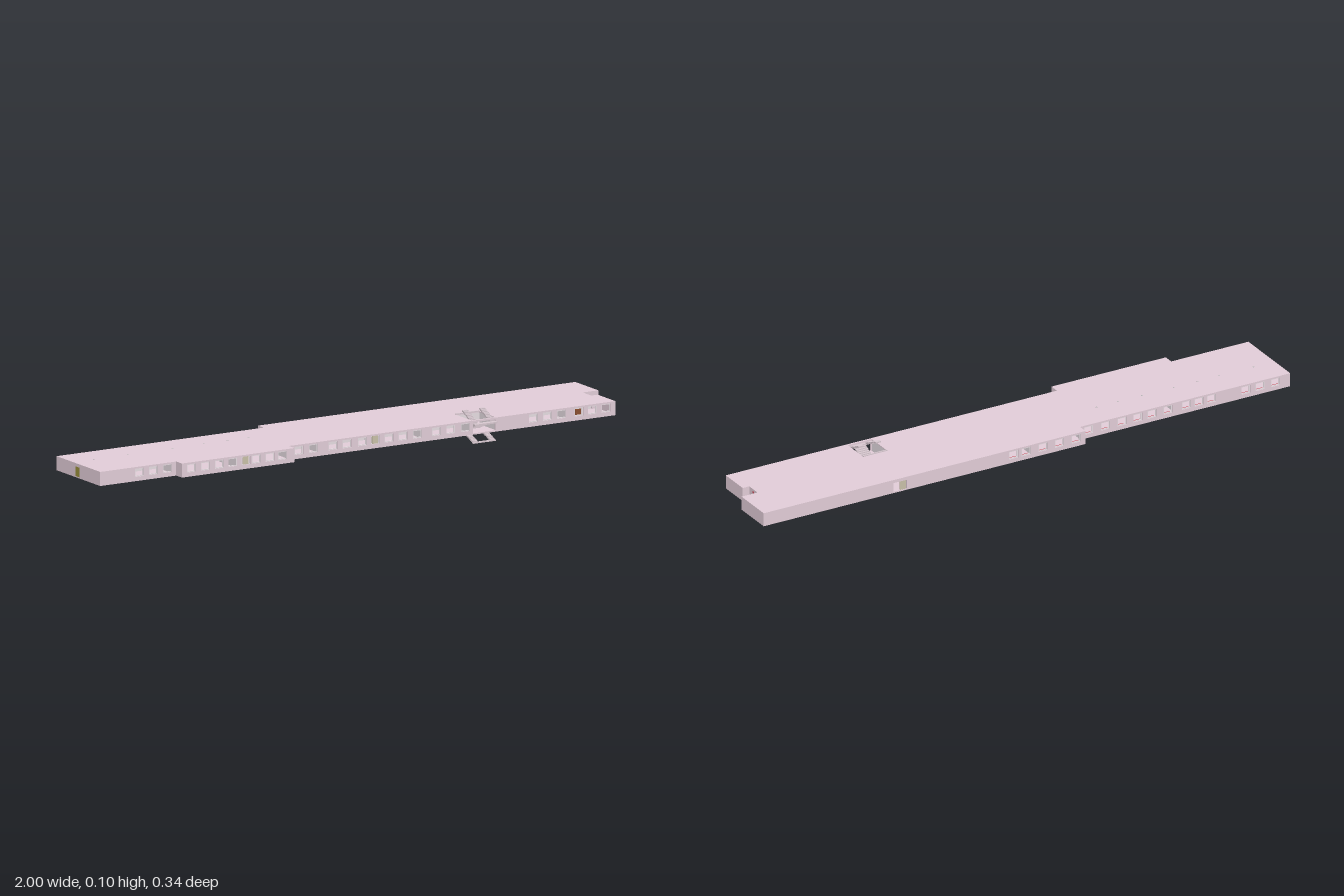
import * as THREE from 'three';

const mat = (color, side = THREE.FrontSide) =>
  new THREE.MeshStandardMaterial({ color, side, flatShading: true });
const M = {
  wall: mat(0xe2cdd8), inner: mat(0xe6dde2), red: mat(0xc04858), grey: mat(0xb4b4b4),
  beige: mat(0xc9c0a8), olive: mat(0x9a8f3c), brown: mat(0x8a5030), step: mat(0xd8c8d0),
};

// Storey levels and wall thickness
const FLOOR = 0.03, BASE = 0.034, CEIL = 0.074, TOP = 0.077, T = 0.006;

// Floor plan corners as [x, z], anticlockwise seen from above
const PLAN = [
  [-1, 0.135], [-0.71, 0.135], [-0.71, 0.17], [-0.28, 0.17], [-0.28, 0.135], [0.965, 0.135],
  [0.965, 0.026], [0.94, 0.026], [0.94, -0.027], [1, -0.027], [1, -0.17],
  [-0.21, -0.17], [-0.21, -0.135], [-1, -0.135],
];

// Window centres on the long sides
const FRONT = [-0.85, -0.797, -0.743, -0.674, -0.62, -0.567, -0.516, -0.465, -0.426, -0.374, -0.326,
  -0.242, -0.187, -0.112, -0.058, 0, 0.05, 0.102, 0.155, 0.21, 0.283, 0.337, 0.394,
  0.652, 0.706, 0.76, 0.826, 0.877, 0.93];
const BACK = [0.06, 0.013, -0.05, -0.112, -0.175, -0.242, -0.305, -0.367, -0.427, -0.48, -0.54,
  -0.61, -0.657, -0.704, -0.833, -0.887, -0.945];
const STAIR_X = 0.465;

function rect(x0, y0, x1, y1, Kind = THREE.Path) {
  const p = new Kind();
  p.moveTo(x0, y0); p.lineTo(x1, y0); p.lineTo(x1, y1); p.lineTo(x0, y1); p.closePath();
  return p;
}

function box(parent, name, material, w, h, d, x, y, z) {
  const mesh = new THREE.Mesh(new THREE.BoxGeometry(w, h, d), material);
  mesh.name = name;
  mesh.position.set(x, y, z);
  parent.add(mesh);
  return mesh;
}

// Horizontal slab over the plan, with optional opening
function slab(parent, name, y0, y1, hole) {
  const shape = new THREE.Shape(PLAN.map(([x, z]) => new THREE.Vector2(x, -z)));
  if (hole) shape.holes.push(hole);
  const geo = new THREE.ExtrudeGeometry(shape, { depth: y1 - y0, bevelEnabled: false });
  const mesh = new THREE.Mesh(geo.rotateX(-Math.PI / 2), M.wall);
  mesh.name = name;
  mesh.position.y = y0;
  parent.add(mesh);
}

// Outer wall from a to b; openings are [centre, width, bottom, top] along the wall
function wall(parent, a, b, openings) {
  const dx = b[0] - a[0], dz = b[1] - a[1];
  const shape = rect(0, BASE, Math.hypot(dx, dz), CEIL, THREE.Shape);
  for (const [c, w, y0, y1] of openings) shape.holes.push(rect(c - w / 2, y0, c + w / 2, y1));
  const geo = new THREE.ExtrudeGeometry(shape, { depth: T, bevelEnabled: false });
  const mesh = new THREE.Mesh(geo.translate(0, 0, -T), M.wall);
  mesh.name = 'outerWall';
  mesh.position.set(a[0], 0, a[1]);
  mesh.rotation.y = Math.atan2(-dz, dx);
  parent.add(mesh);
}

// Straight flight of thin steps from (z0, y0) to (z1, y1)
function flight(parent, name, x, w, z0, y0, z1, y1, n = 9) {
  const g = new THREE.Group();
  g.name = name;
  for (let i = 0; i < n; i++) {
    const t = (i + 0.5) / n;
    box(g, 'step', M.step, w, 0.0045, Math.abs(z1 - z0) / n + 0.002,
      x, y0 + (y1 - y0) * t, z0 + (z1 - z0) * t);
  }
  parent.add(g);
}

export function createModel() {
  const root = new THREE.Group();
  root.name = 'buildingStorey';

  // Floor, and roof with the stairwell opening
  slab(root, 'floorSlab', FLOOR, BASE);
  slab(root, 'roofSlab', CEIL, TOP, rect(STAIR_X - 0.045, -0.128, STAIR_X + 0.045, -0.03));

  // Outer walls with windows on the long sides
  const walls = new THREE.Group();
  walls.name = 'outerWalls';
  PLAN.forEach((a, i) => {
    const b = PLAN[(i + 1) % PLAN.length];
    const dir = Math.sign(b[0] - a[0]);
    const openings = [];
    if (a[1] === b[1] && Math.abs(a[1]) > 0.1) {
      for (const x of dir > 0 ? FRONT : BACK) {
        const along = (x - a[0]) * dir;
        if (along < 0.02 || along > Math.abs(b[0] - a[0]) - 0.02) continue;
        openings.push([along, 0.034, 0.044, 0.0715]);
        const z = a[1] - dir * 0.011;
        box(root, 'radiator', M.red, 0.03, 0.009, 0.006, x, 0.0395, z);
        // Window frame bars
        for (const s of [-1, 1]) {
          box(root, 'windowFrame', M.inner, 0.003, 0.0275, 0.003, x + s * 0.0155, 0.05775, z + dir * 0.007);
          box(root, 'windowFrame', M.inner, 0.034, 0.003, 0.003, x, 0.05775 + s * 0.01225, z + dir * 0.007);
        }
      }
      // Stairwell opening in the front, side entrance in the back
      if (dir > 0 && b[0] > 0.9) openings.push([STAIR_X - a[0], 0.086, 0.0345, 0.071]);
      if (dir < 0 && a[0] > 0.9) openings.push([a[0] - 0.487, 0.05, 0.0345, 0.066]);
    }
    wall(walls, a, b, openings);
  });
  root.add(walls);

  // Corridor walls, the front one stopping at the stairwell
  const innerWall = (x0, x1, z0, z1) => box(root, 'innerWall', M.inner,
    x1 - x0, CEIL - BASE, z1 - z0, (x0 + x1) / 2, (BASE + CEIL) / 2, (z0 + z1) / 2);
  innerWall(-0.99, 0.415, 0.026, 0.03);
  innerWall(0.515, 0.935, 0.026, 0.03);
  innerWall(-0.99, 0.935, -0.031, -0.027);

  // Room partitions
  for (const x of [-0.71, -0.49, -0.28, -0.15, 0.075, 0.245, 0.417, 0.513, 0.79])
    innerWall(x - 0.002, x + 0.002, 0.03, x > -0.7 && x < -0.3 ? 0.164 : 0.129);
  for (const x of [-0.77, -0.575, -0.21, -0.015, 0.16, 0.455, 0.53, 0.75])
    innerWall(x - 0.002, x + 0.002, x > -0.2 ? -0.164 : -0.129, -0.031);

  // Coloured panels in some openings
  box(root, 'ventPanel', M.beige, 0.022, 0.026, 0.004, -0.465, 0.058, 0.166);
  box(root, 'ventPanel', M.beige, 0.022, 0.026, 0.004, 0.05, 0.058, 0.131);
  box(root, 'brownPanel', M.brown, 0.02, 0.018, 0.004, 0.826, 0.057, 0.129);
  box(root, 'backDoor', M.beige, 0.022, 0.031, 0.003, 0.475, 0.05, -0.167);

  // End doors and the sign over the recessed one
  box(root, 'recessDoor', M.grey, 0.002, 0.027, 0.008, 0.9405, 0.0475, 0);
  box(root, 'doorSign', M.red, 0.002, 0.006, 0.008, 0.9405, 0.067, 0);
  box(root, 'endDoor', M.olive, 0.002, 0.032, 0.022, -0.9995, 0.05, -0.005);

  // Columns showing slightly through both slabs
  for (const x of [-0.92, -0.79, -0.71, -0.62, -0.5, -0.41, -0.33]) {
    const col = new THREE.Mesh(new THREE.CylinderGeometry(0.003, 0.003, TOP - FLOOR + 0.0006, 8), M.grey);
    col.name = 'column';
    col.position.set(x, (TOP + FLOOR) / 2, -0.035);
    root.add(col);
  }

  // Double-return stair: centre flight to a half landing, side flights onward
  const stair = new THREE.Group();
  stair.name = 'staircase';
  flight(stair, 'centreFlight', STAIR_X, 0.042, 0.065, 0.033, 0.13, 0.062);
  for (const s of [-1, 1]) {
    const x = STAIR_X + s * 0.0325;
    flight(stair, 'upperFlight', x, 0.019, 0.13, 0.066, 0.065, 0.097);
    flight(stair, 'lowerFlight', x, 0.019, 0.13, 0.004, 0.065, 0.03);
  }
  box(stair, 'halfLanding', M.step, 0.086, 0.005, 0.018, STAIR_X, 0.063, 0.138);
  box(stair, 'lowerLanding', M.step, 0.086, 0.004, 0.008, STAIR_X, 0.002, 0.133);
  box(stair, 'upperEdge', M.step, 0.09, 0.003, 0.004, STAIR_X, 0.0785, 0.03);
  root.add(stair);
  return root;
}
